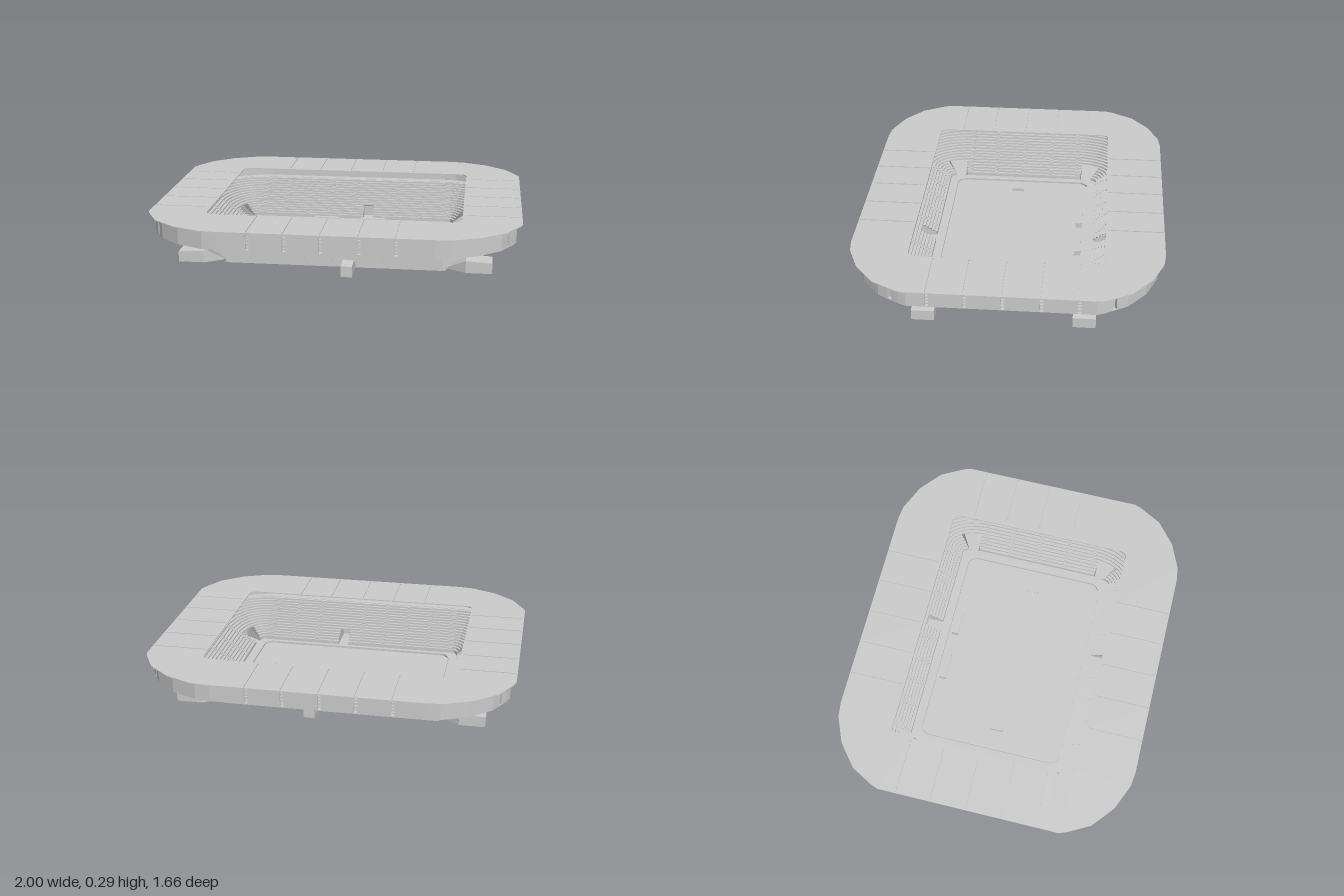
import * as THREE from 'three';
import { mergeGeometries } from 'three/addons/utils/BufferGeometryUtils.js';

const mat = new THREE.MeshStandardMaterial({ color: 0xcccccc, flatShading: true, side: THREE.DoubleSide });
const ROWS = 16;
const GAPS_X = [-0.4, -0.21, -0.02, 0.175, 0.365];   // facade joints, front and back
const GAPS_Z = [-0.395, -0.205, -0.01, 0.185, 0.375]; // facade joints, both sides
const ROOF_CORNER = [[1, 0.5], [0.985, 0.54], [0.92, 0.66], [0.8, 0.76], [0.66, 0.82], [0.58, 0.83]];
const WALL_CORNER = [[0.97, 0.48], [0.955, 0.52], [0.89, 0.635], [0.78, 0.73], [0.64, 0.79], [0.56, 0.8]];
const QUADRANTS = [[1, 1], [-1, 1], [-1, -1], [1, -1]];

// Closed outline from one corner curve, mirrored round the four quadrants
const mirrorRing = corner => QUADRANTS.flatMap(([sx, sz]) => {
  const pts = corner.map(([x, z]) => [x * sx, z * sz]);
  return sx * sz > 0 ? pts : pts.reverse();
});
const path = (pts, Type = THREE.Shape) => new Type(pts.map(([x, z]) => new THREE.Vector2(x, -z)));
const rect = (x0, x1, z0, z1) => [[x0, z0], [x1, z0], [x1, z1], [x0, z1]];

// Horizontal slab with an outline, holes, bottom and top height
function slab(outline, holes, y0, y1) {
  const shape = path(outline);
  shape.holes = holes.map(h => path(h, THREE.Path));
  const g = new THREE.ExtrudeGeometry(shape, { depth: y1 - y0, bevelEnabled: false });
  return g.rotateX(-Math.PI / 2).translate(0, y0, 0);
}
const box = (w, h, d, x, y, z) => new THREE.BoxGeometry(w, h, d).translate(x, y, z);

function quads(list) {
  const pos = [];
  for (const [a, b, c, d] of list) pos.push(...a, ...b, ...c, ...a, ...c, ...d);
  const g = new THREE.BufferGeometry();
  g.setAttribute('position', new THREE.Float32BufferAttribute(pos, 3));
  g.computeVertexNormals();
  return g;
}

// Bowl outline: t = 0 at the lowest row, 1 at the top row
const ANGLES = [0, 0.13, 0.46, 0.8, 1.06, 1.31, Math.PI / 2];
const halfX = t => 0.62 + 0.27 * t;
const halfZ = t => 0.45 + 0.265 * t;
const rowY = i => 0.02 + 0.17 * i / ROWS;
function bowlRing(t) {
  const ring = mirrorRing(ANGLES.map(a => [
    0.59 + (halfX(t) - 0.59) * Math.cos(a), 0.34 + (halfZ(t) - 0.34) * Math.sin(a)]));
  const n = ANGLES.length;
  // extra points either side of the central tunnels
  ring.splice(3 * n, 0, [0.06, -halfZ(t)], [0.12, -halfZ(t)]);
  ring.splice(n, 0, [0.12, halfZ(t)], [0.06, halfZ(t)]);
  return ring;
}

// Stepped seating, left open in the low rows where tunnels pass
function terraces() {
  const list = [];
  for (let i = 0; i < ROWS; i++) {
    const a = bowlRing(i / ROWS), b = bowlRing((i + 1) / ROWS);
    const y0 = i ? rowY(i) : 0.008, y1 = rowY(i + 1);
    a.forEach((p, k) => {
      const m = (k + 1) % a.length, q = a[m];
      const mx = Math.abs(p[0] + q[0]) / 2, mz = Math.abs(p[1] + q[1]) / 2;
      const angle = Math.atan2((mz - 0.34) / (halfZ(i / ROWS) - 0.34), (mx - 0.59) / (halfX(i / ROWS) - 0.59));
      const corner = mx > 0.59 && mz > 0.34 && angle > 0.13 && angle < 0.8;
      const middle = Math.abs(p[0] + q[0] - 0.18) < 0.01 && mz > 0.4;
      if ((corner || middle) && y1 < 0.078) return;
      list.push([[p[0], y0, p[1]], [q[0], y0, q[1]], [q[0], y1, q[1]], [p[0], y1, p[1]]]);
      list.push([[p[0], y1, p[1]], [q[0], y1, q[1]], [b[m][0], y1, b[m][1]], [b[k][0], y1, b[k][1]]]);
    });
  }
  return quads(list);
}

// Half-height steps up the aisles
function aisles() {
  const parts = [];
  const dz = 0.265 / ROWS, dx = 0.27 / ROWS, rise = 0.17 / ROWS;
  for (let i = 0; i < ROWS - 1; i++) {
    const t = (i + 1) / ROWS, y = rowY(i + 1) + rise * 0.1;
    for (const s of [1, -1]) {
      for (const x of [-0.567, -0.425, -0.285, -0.15, -0.01, 0.265, 0.41, 0.56])
        parts.push(box(Math.abs(x) > 0.5 ? 0.045 : 0.022, rise * 0.8, dz * 0.5, x, y, s * (halfZ(t) - dz * 0.25)));
      for (const z of [-0.33, -0.17, 0, 0.17, 0.33])
        parts.push(box(dx * 0.5, rise * 0.8, 0.022, s * (halfX(t) - dx * 0.25), y, z));
    }
  }
  return mergeGeometries(parts);
}

// Entrance tunnel from a six-point plan, open towards the pitch
function tunnel(plan) {
  const h = [0.02, 0.074, 0.066, 0.066, 0.074, 0.02];
  const lo = plan.map(([x, z]) => [x, 0.008, z]);
  const hi = plan.map(([x, z], i) => [x, h[i], z]);
  const list = [[hi[1], hi[2], hi[3], hi[4]], [lo[0], lo[1], lo[4], lo[5]], [lo[1], lo[2], lo[3], lo[4]]];
  for (let i = 0; i < 5; i++) list.push([lo[i], lo[i + 1], hi[i + 1], hi[i]]);
  return quads(list);
}

// Upper facade: straight panels between joints, split corner panels
function facade() {
  const parts = [], y0 = 0.19, y1 = 0.289, h = y1 - y0, y = (y0 + y1) / 2, gap = 0.009;
  for (const s of [1, -1]) {
    const ex = [-0.56 - gap, ...GAPS_X, 0.56 + gap], ez = [-0.48 - gap, ...GAPS_Z, 0.48 + gap];
    for (let i = 0; i < 6; i++) {
      parts.push(box(ex[i + 1] - ex[i] - 2 * gap, h, 0.02, (ex[i] + ex[i + 1]) / 2, y, s * 0.79));
      parts.push(box(0.02, h, ez[i + 1] - ez[i] - 2 * gap, s * 0.96, y, (ez[i] + ez[i + 1]) / 2));
    }
  }
  const halves = [
    [...WALL_CORNER.slice(0, 2), [0.931, 0.562]],
    [[0.921, 0.58], ...WALL_CORNER.slice(2)]];
  for (const [sx, sz] of QUADRANTS) for (const half of halves) {
    const inner = half.map(([x, z]) => [x - 0.02 * (x - 0.5) / 0.47, z - 0.02 * (z - 0.4) / 0.4]).reverse();
    parts.push(slab([...half, ...inner].map(([x, z]) => [x * sx, z * sz]), [], y0, y1));
  }
  return mergeGeometries(parts.map(g => g.index ? g.toNonIndexed() : g));
}

// Rungs in the recessed joints, and the gutters under the roof slots
function joints() {
  const rungs = [], gutters = [], slots = [];
  for (const s of [1, -1]) {
    for (const x of GAPS_X) {
      slots.push(s > 0 ? rect(x - 0.004, x + 0.004, 0.525, 0.822) : rect(x - 0.004, x + 0.004, -0.822, -0.525));
      gutters.push(box(0.016, 0.004, 0.3, x, 0.287, s * 0.673));
      for (let i = 0; i < 5; i++) rungs.push(box(0.02, 0.008, 0.014, x, 0.203 + i * 0.019, s * 0.784));
    }
    for (const z of GAPS_Z) {
      slots.push(s > 0 ? rect(0.695, 0.992, z - 0.004, z + 0.004) : rect(-0.992, -0.695, z - 0.004, z + 0.004));
      gutters.push(box(0.3, 0.004, 0.016, s * 0.843, 0.287, z));
      for (let i = 0; i < 5; i++) rungs.push(box(0.014, 0.008, 0.02, s * 0.954, 0.203 + i * 0.019, z));
    }
  }
  return { rungs: mergeGeometries(rungs), gutters: mergeGeometries(gutters), slots };
}

export function createModel() {
  const group = new THREE.Group();
  const add = (name, geometry) => {
    const mesh = new THREE.Mesh(geometry, mat);
    mesh.name = name;
    group.add(mesh);
    return mesh;
  };
  const scaled = (pts, d) => pts.map(([x, z]) => [x * (1 - d / 0.97), z * (1 - d / 0.8)]);
  const wall = mirrorRing(WALL_CORNER);

  // Ground and pitch surround
  add('pitchFloor', slab(bowlRing(0), [], 0.004, 0.01));
  const board = d => mirrorRing([[0.57 - d, 0.36], [0.555 - d, 0.39 - d], [0.53, 0.405 - d]]);
  add('perimeterBoard', slab(board(0), [board(0.006)], 0.01, 0.022));

  // Seating bowl
  add('terraces', terraces());
  add('aisleSteps', aisles());
  add('upperLedge', slab(wall, [bowlRing(1)], 0.188, 0.192));

  // Entrance tunnels
  for (const [sx, sz] of QUADRANTS)
    add('cornerTunnel', tunnel([[0.615, 0.36], [0.71, 0.36], [0.85, 0.36], [0.85, 0.48], [0.71, 0.48], [0.615, 0.42]]
      .map(([x, z]) => [x * sx, z * sz])));
  for (const [name, mid, end] of [['frontTunnel', 0.535, 0.625], ['backTunnel', -0.525, -0.545]]) {
    const start = Math.sign(end) * 0.45;
    add(name, tunnel([[0.06, start], [0.06, mid], [0.06, end], [0.12, end], [0.12, mid], [0.12, start]]));
  }

  // Facade and roof
  const { rungs, gutters, slots } = joints();
  add('facadePanels', facade());
  add('facadeBackWall', slab(scaled(wall, 0.022), [scaled(wall, 0.03)], 0.19, 0.289));
  add('jointRungs', rungs);
  add('roofGutters', gutters);
  const opening = mirrorRing([[0.685, 0.48], [0.678, 0.5], [0.665, 0.511], [0.645, 0.515]]);
  add('roof', slab(mirrorRing(ROOF_CORNER), [opening, ...slots], 0.289, 0.295));

  // Dugouts: base, back, sides and canopy
  for (const x of [-0.15, 0.133])
    add('dugout', mergeGeometries([
      box(0.15, 0.012, 0.04, x, 0.006, -0.36), box(0.15, 0.035, 0.004, x, 0.022, -0.378),
      box(0.15, 0.004, 0.036, x, 0.039, -0.362),
      ...[-1, 1].map(s => box(0.004, 0.03, 0.036, x + s * 0.073, 0.024, -0.362))]));

  // Goals: posts, crossbar and back net
  for (const x of [-0.45, 0.43]) {
    const s = Math.sign(x);
    add('goal', mergeGeometries([
      box(0.004, 0.003, 0.07, x - s * 0.004, 0.032, 0.02), box(0.002, 0.022, 0.07, x + s * 0.005, 0.021, 0.02),
      box(0.012, 0.002, 0.07, x, 0.032, 0.02),
      ...[-1, 1].map(k => box(0.012, 0.024, 0.003, x, 0.021, 0.02 + k * 0.034))]));
  }
  return group;
}
